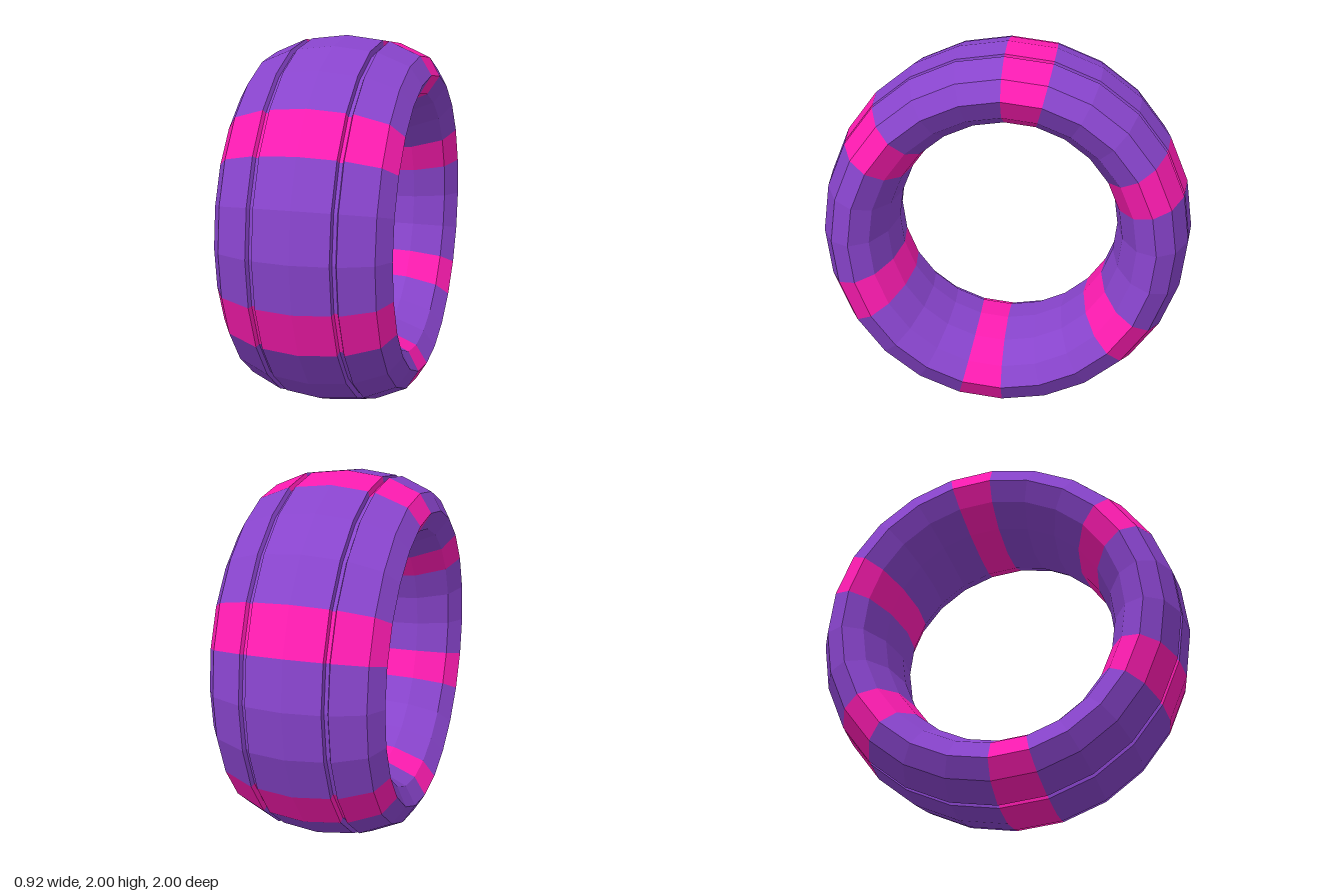
import * as THREE from 'three';

const WIDTH = 0.46, TUBE = 0.2, MID = 0.8, SECTOR = Math.PI / 12;

// Closed cross-section (radius, axial): a stretched 12-gon with two tread grooves
function ringProfile() {
  const points = [];
  for (let i = 0; i <= 12; i++) {
    const a = -Math.PI / 2 + i * Math.PI / 6;
    const r = MID + TUBE * Math.cos(a), x = WIDTH * Math.sin(a);
    const groove = [[0.973, 0.23], [0.95, 0.22], [0.947, 0.2], [0.977, 0.196]];
    if (i === 2) groove.forEach(([gr, gx]) => points.push(new THREE.Vector2(gr, -gx)));
    else if (i === 4) groove.reverse().forEach(([gr, gx]) => points.push(new THREE.Vector2(gr, gx)));
    else points.push(new THREE.Vector2(r, x));
  }
  return points;
}

export function createModel() {
  const group = new THREE.Group();
  group.name = 'stripedTire';
  const profile = ringProfile();
  const purple = new THREE.MeshStandardMaterial({ color: 0x8844cc, flatShading: true });
  const pink = new THREE.MeshStandardMaterial({ color: 0xff1cb2, flatShading: true });

  // One arc of the ring, turned so that the axle runs along x
  function addArc(name, material, start, count) {
    const geometry = new THREE.LatheGeometry(profile, count, start, count * SECTOR);
    geometry.rotateZ(-Math.PI / 2);
    geometry.translate(0, 1, 0);
    const mesh = new THREE.Mesh(geometry, material);
    mesh.name = name;
    group.add(mesh);
  }

  // Six pink stripes, each followed by three purple sectors
  for (let k = 0; k < 6; k++) {
    const start = -Math.PI / 2 + k * 4 * SECTOR;
    addArc('stripe' + (k + 1), pink, start - SECTOR, 1);
    addArc('tireBody' + (k + 1), purple, start, 3);
  }
  return group;
}
